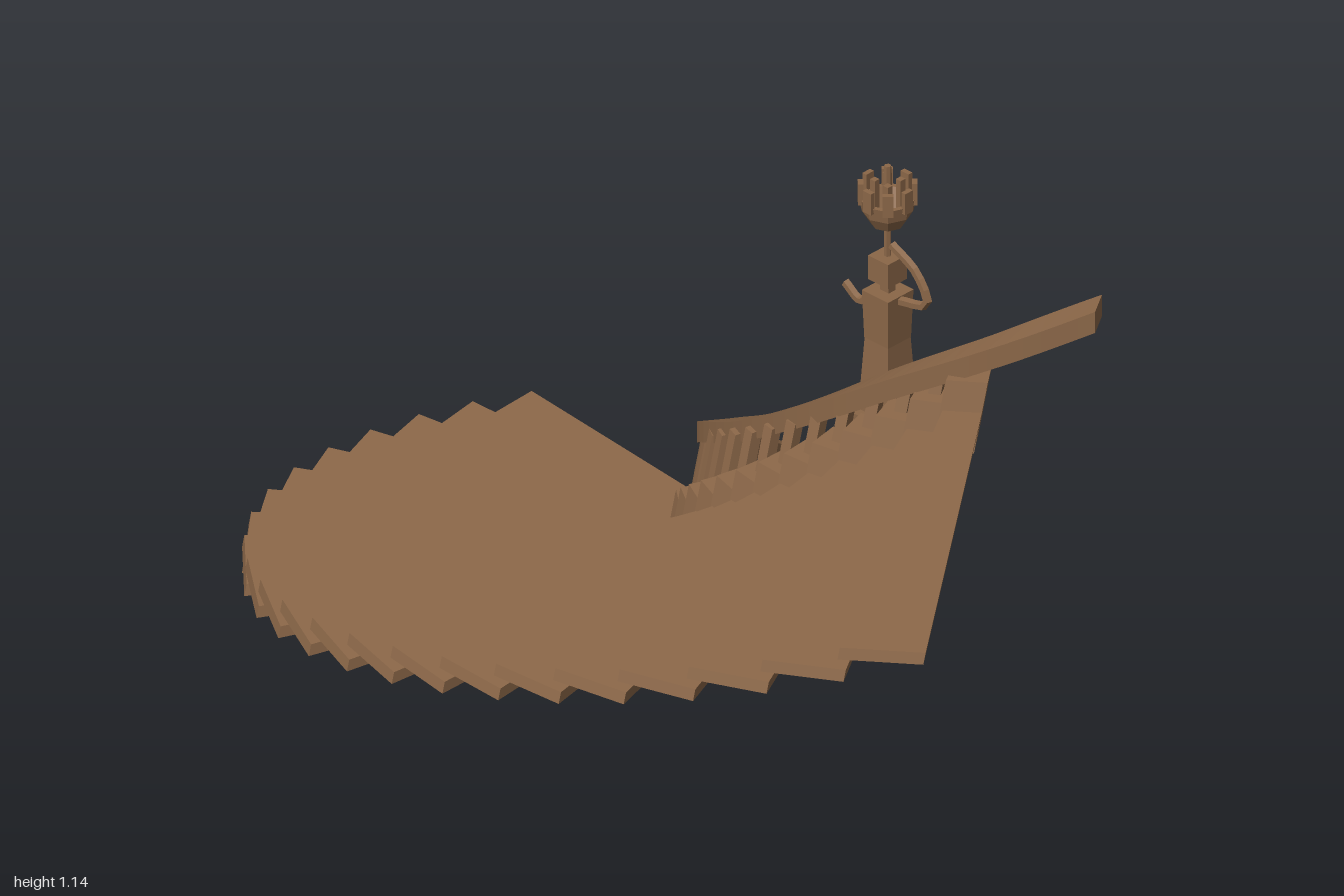
import * as THREE from 'three';

const material = new THREE.MeshStandardMaterial({ color: 0x8b6748, flatShading: true, side: THREE.DoubleSide });
const V = (x, y, z) => new THREE.Vector3(x, y, z);
const STEPS = 22;
const CENTRE = { x: 0.49, z: 0.25 };
const TILT = 0.078; // rise of the stair towards +x
const LEAN = 0.27;  // sideways lean of upright stair parts
const RAD = Math.PI / 180;
const START = -5.5 * RAD;
const TURN = 5.98 * RAD;

function add(parent, name, geometry, x = 0, y = 0, z = 0) {
  const mesh = new THREE.Mesh(geometry, material);
  mesh.name = name;
  mesh.position.set(x, y, z);
  parent.add(mesh);
  return mesh;
}

// Apply a rule to every vertex
function warp(geometry, rule) {
  const p = geometry.attributes.position;
  for (let i = 0; i < p.count; i++) {
    const v = rule(V(p.getX(i), p.getY(i), p.getZ(i)));
    p.setXYZ(i, v.x, v.y, v.z);
  }
  geometry.computeVertexNormals();
  return geometry;
}

const onArc = (r, a, h) => {
  const x = CENTRE.x - r * Math.sin(a);
  return V(x, h + TILT * x, CENTRE.z - r * Math.cos(a));
};

// Wedge block between two radii and two angles; its height leans sideways
function wedge(r0, r1, a0, a1, h, bottom, top) {
  return warp(new THREE.BoxGeometry(1, 1, 1), (v) => {
    const r = r0 + (v.x + 0.5) * (r1 - r0);
    const a = a1 - (v.z + 0.5) * (a1 - a0);
    const dy = bottom + (v.y + 0.5) * (top - bottom);
    const q = onArc(r, a, h);
    return V(q.x + dy * LEAN, Math.max(0, q.y + dy), q.z);
  });
}

// Rectangular section swept along a curve, kept level sideways
function sweep(curve, width, height, segments) {
  return warp(new THREE.BoxGeometry(1, 1, 1, segments, 1, 1), (v) => {
    const t = v.x + 0.5;
    const p = curve.getPoint(t);
    const tan = curve.getTangent(t);
    const side = V(-tan.z, 0, tan.x).normalize();
    return p.addScaledVector(side, v.z * width).add(V(0, v.y * height, 0));
  });
}

function buildStairs(group) {
  const railPath = new THREE.CatmullRomCurve3([
    V(0.64, 0.185, -0.28), V(0.5, 0.27, -0.3), V(0.3, 0.415, -0.25),
    V(0.13, 0.56, -0.11), V(0.03, 0.69, 0.08), V(-0.015, 0.825, 0.27),
    V(0, 0.93, 0.42), V(0.06, 1.03, 0.58), V(0.155, 1.125, 0.73),
  ]);
  add(group, 'handrail', sweep(railPath, 0.055, 0.04, 48));
  const railPoints = railPath.getPoints(120);

  for (let i = 0; i < STEPS; i++) {
    const a = START + i * TURN;
    const h = 0.007 + 0.0444 * i;
    const spread = -0.014 * Math.cos((i * 2 * Math.PI) / 15);
    const mid = a + TURN / 2;

    add(group, 'tread', wedge(0.575 + spread, 1.262 + spread, a, a + TURN + 0.4 * RAD, h, -0.02, 0));
    add(group, 'stringerBlock', wedge(0.53, 0.585, a - 0.4 * RAD, a + TURN + 0.4 * RAD, h, -0.07, 0.05));

    // Baluster stops at the underside of the rail
    const foot = onArc(0.553, mid, h);
    const head = V(foot.x + 0.035, 0, foot.z);
    const near = railPoints.reduce((best, p) =>
      Math.hypot(p.x - head.x, p.z - head.z) < Math.hypot(best.x - head.x, best.z - head.z) ? p : best);
    const height = Math.min(0.16, near.y - foot.y);
    add(group, 'baluster', wedge(0.543, 0.563, mid - 1.1 * RAD, mid + 1.1 * RAD, h, 0.03, height));
  }
}

function buildNewel(group) {
  const newel = new THREE.Group();
  newel.name = 'newelPost';
  newel.position.set(0.695, 0, -0.275);
  group.add(newel);

  add(newel, 'plinth', new THREE.BoxGeometry(0.13, 0.2, 0.13), 0, 0.1, 0);
  add(newel, 'pedestal', new THREE.BoxGeometry(0.09, 0.085, 0.09), 0, 0.2425, 0);

  // Draped standing figure, squared and tapering
  const body = new THREE.CylinderGeometry(0.037, 0.048, 0.14, 4).rotateY(Math.PI / 4);
  add(newel, 'figureSkirt', body, 0.005, 0.355, 0);
  const torso = new THREE.CylinderGeometry(0.042, 0.038, 0.09, 4).rotateY(Math.PI / 4);
  add(newel, 'figureTorso', torso, 0.005, 0.465, 0);
  add(newel, 'figureNeck', new THREE.BoxGeometry(0.016, 0.04, 0.02), 0.005, 0.52, 0);
  add(newel, 'figureHead', new THREE.BoxGeometry(0.045, 0.045, 0.045), 0.005, 0.553, 0);

  const arm = (name, points) =>
    add(newel, name, new THREE.TubeGeometry(new THREE.CatmullRomCurve3(points), 10, 0.008, 5));
  arm('raisedArm', [V(0.005, 0.5, 0.025), V(0.005, 0.52, 0.09), V(0.005, 0.57, 0.065), V(0.005, 0.6, 0.01)]);
  arm('loweredArm', [V(0.005, 0.5, -0.025), V(0.005, 0.465, -0.06), V(0.005, 0.485, -0.095)]);

  // Lamp: stem, bowl and a ring of petals
  const lamp = new THREE.Group();
  lamp.name = 'lamp';
  lamp.position.x = 0.005;
  newel.add(lamp);
  add(lamp, 'lampStem', new THREE.CylinderGeometry(0.006, 0.006, 0.07, 6), 0, 0.605, 0);
  const bowl = [[0.008, 0.625], [0.028, 0.637], [0.042, 0.66], [0.047, 0.685], [0.038, 0.685], [0.02, 0.655], [0, 0.65]];
  add(lamp, 'lampBowl', new THREE.LatheGeometry(bowl.map(([x, y]) => new THREE.Vector2(x, y)), 8));
  for (let i = 0; i < 8; i++) {
    const a = (i * Math.PI) / 4;
    const petal = add(lamp, 'lampPetal', new THREE.BoxGeometry(0.009, 0.04, 0.018),
      0.044 * Math.cos(a), 0.695, 0.044 * Math.sin(a));
    petal.rotation.y = -a;
  }
  for (let i = 0; i < 4; i++) {
    const a = (i * Math.PI) / 2 + Math.PI / 4;
    add(lamp, 'innerPetal', new THREE.BoxGeometry(0.011, 0.07, 0.011),
      0.021 * Math.cos(a), 0.685, 0.021 * Math.sin(a));
  }
  add(lamp, 'lampCore', new THREE.CylinderGeometry(0.006, 0.008, 0.095, 6), 0, 0.698, 0);
}

export function createModel() {
  const group = new THREE.Group();
  group.name = 'curvedStaircase';
  buildStairs(group);
  buildNewel(group);
  return group;
}
